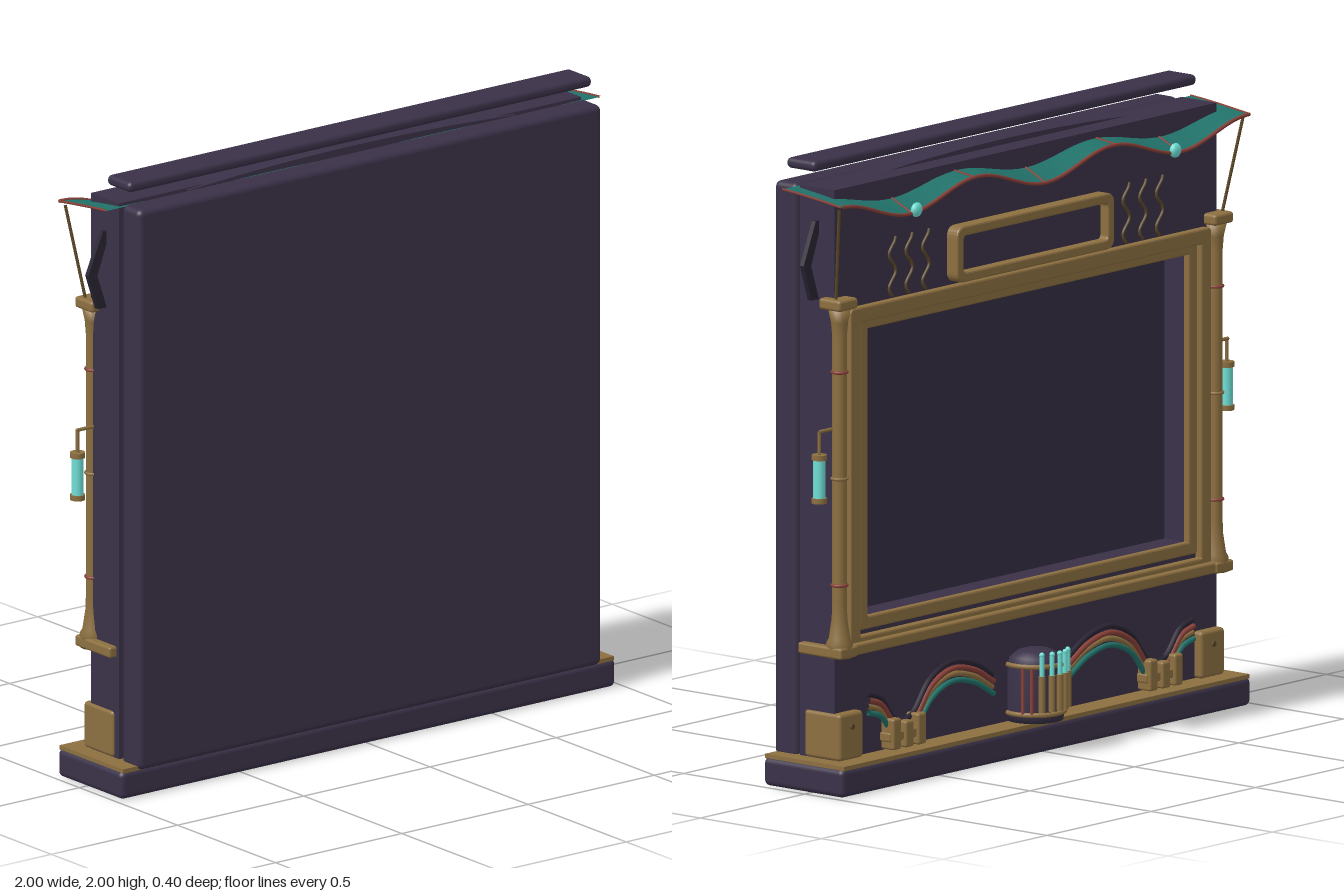
import * as THREE from 'three';
import { RoundedBoxGeometry } from 'three/addons/geometries/RoundedBoxGeometry.js';

const mat = (name, color, side = THREE.FrontSide) => {
  const m = new THREE.MeshStandardMaterial({ color, side });
  m.name = name;
  return m;
};

export function createModel() {
  const M = {
    dark: mat('dark purple', 0x3a3148),
    screen: mat('screen purple', 0x352d42),
    brass: mat('brass', 0x8c6f40),
    oldBrass: mat('tarnished brass', 0x5e4a28),
    teal: mat('teal cloth', 0x21726a, THREE.DoubleSide),
    glow: mat('glowing aqua', 0x6fe0d6),
    red: mat('copper red', 0x8a4038),
    iron: mat('dark iron', 0x2a2433),
  };
  const root = new THREE.Group();
  const V = (x, y, z) => new THREE.Vector3(x, y, z);

  const add = (name, geo, material, x = 0, y = 0, z = 0) => {
    const mesh = new THREE.Mesh(geo, material);
    mesh.name = name;
    mesh.position.set(x, y, z);
    root.add(mesh);
    return mesh;
  };
  // box given by its limits, with rounded edges when r > 0
  const box = (name, m, x0, x1, y0, y1, z0, z1, r = 0) => {
    const s = [x1 - x0, y1 - y0, z1 - z0];
    const g = r ? new RoundedBoxGeometry(...s, 3, r) : new THREE.BoxGeometry(...s);
    return add(name, g, m, (x0 + x1) / 2, (y0 + y1) / 2, (z0 + z1) / 2);
  };
  const cyl = (name, m, r, y0, y1, x, z, r2 = r, n = 16) =>
    add(name, new THREE.CylinderGeometry(r2, r, y1 - y0, n), m, x, (y0 + y1) / 2, z);
  const tube = (name, m, pts, r, n = 40, sides = 8) =>
    add(name, new THREE.TubeGeometry(new THREE.CatmullRomCurve3(pts), n, r, sides), m);
  const rod = (name, m, a, b, r) =>
    add(name, new THREE.TubeGeometry(new THREE.LineCurve3(a, b), 1, r, 8), m);
  const roundRect = (S, w, h, r) => {
    const s = new S();
    s.moveTo(-w + r, -h);
    s.lineTo(w - r, -h).quadraticCurveTo(w, -h, w, -h + r);
    s.lineTo(w, h - r).quadraticCurveTo(w, h, w - r, h);
    s.lineTo(-w + r, h).quadraticCurveTo(-w, h, -w, h - r);
    s.lineTo(-w, -h + r).quadraticCurveTo(-w, -h, -w + r, -h);
    return s;
  };
  // hollow frame: outer half sizes w, h and bar thickness t
  const frame = (name, m, w, h, t, y, z0, z1, r, bevel = 0.006) => {
    const s = roundRect(THREE.Shape, w - bevel, h - bevel, r);
    s.holes.push(roundRect(THREE.Path, w - t + bevel, h - t + bevel, r * 0.7));
    const g = new THREE.ExtrudeGeometry(s, {
      depth: z1 - z0 - 2 * bevel, bevelSize: bevel, bevelThickness: bevel, bevelSegments: 2, curveSegments: 6,
    });
    return add(name, g, m, 0, y, z0 + bevel);
  };

  // base, slab and floating top bar
  box('base', M.dark, -0.98, 0.98, 0, 0.09, -0.14, 0.19, 0.018);
  box('basePlate', M.brass, -0.972, 0.972, 0.086, 0.1, -0.138, 0.187);
  box('slab', M.dark, -0.917, 0.917, 0.085, 1.92, 0.105, 0.2, 0.02);
  box('topBar', M.dark, -0.917, 0.917, 1.966, 2, 0.03, 0.15, 0.015);

  // body with a recessed screen
  box('lowerBody', M.dark, -0.915, 0.915, 0.095, 0.54, -0.05, 0.093);
  box('header', M.dark, -0.915, 0.915, 1.47, 1.92, -0.05, 0.093);
  for (const s of [-1, 1]) box('sidePost', M.dark, s * 0.843 - 0.072, s * 0.843 + 0.072, 0.54, 1.47, -0.05, 0.093);
  box('screen', M.screen, -0.78, 0.78, 0.53, 1.48, 0.04, 0.09);
  const crest = new THREE.Shape();
  crest.moveTo(-0.65, 1.915);
  crest.lineTo(0.65, 1.915);
  crest.quadraticCurveTo(0, 1.96, -0.65, 1.915);
  add('crest', new THREE.ExtrudeGeometry(crest, { depth: 0.08, bevelEnabled: false, curveSegments: 20 }), M.dark, 0, 0, 0.025);

  // screen surround, sill and header plaque
  frame('outerFrame', M.brass, 0.865, 0.55, 0.05, 0.985, -0.075, -0.045, 0.012);
  frame('innerFrame', M.brass, 0.81, 0.5, 0.042, 1.0, -0.064, -0.04, 0.008);
  box('sill', M.brass, -0.925, 0.925, 0.432, 0.468, -0.095, -0.04, 0.008);
  frame('plaqueFrame', M.brass, 0.377, 0.09, 0.032, 1.634, -0.095, -0.045, 0.03);
  box('plaque', M.dark, -0.35, 0.35, 1.57, 1.7, -0.062, -0.045);

  // canopy with a wavy front edge
  const wave = (x) => 1.85 - 0.035 * Math.cos((2 * Math.PI * x) / 0.65);
  const NX = 56, NZ = 6;
  const onCanopy = (x, t) => V(x, THREE.MathUtils.lerp(1.912, wave(x), t ** 1.2), 0.11 - 0.242 * t);
  const pos = [], idx = [];
  for (let j = 0; j <= NZ; j++)
    for (let i = 0; i <= NX; i++) pos.push(...onCanopy(-0.978 + (1.956 * i) / NX, j / NZ).toArray());
  for (let j = 0; j < NZ; j++)
    for (let i = 0; i < NX; i++) {
      const a = j * (NX + 1) + i, b = a + NX + 1;
      idx.push(a, b, a + 1, b, b + 1, a + 1);
    }
  for (let k = 0; k < idx.length; k += 3) [idx[k + 1], idx[k + 2]] = [idx[k + 2], idx[k + 1]];
  const cloth = new THREE.BufferGeometry();
  cloth.setAttribute('position', new THREE.Float32BufferAttribute(pos, 3));
  cloth.setIndex(idx);
  cloth.computeVertexNormals();
  add('canopy', cloth, M.teal);
  const edge = Array.from({ length: 41 }, (_, i) => onCanopy(-0.978 + (1.956 * i) / 40, 1));
  tube('canopyTrim', M.red, edge, 0.006, 120, 6);
  for (const x of [-0.978, -0.64, -0.34, 0, 0.34, 0.64, 0.978]) {
    const start = Math.abs(x) > 0.95 ? 0 : 0.6;
    const pts = Array.from({ length: 5 }, (_, i) => onCanopy(x, start + ((1 - start) * i) / 4));
    tube('canopyRib', M.red, pts, 0.004, 10, 6);
  }

  // mirrored parts
  const columnProfile = [
    [0, 0.43], [0.042, 0.43], [0.042, 0.475], [0.034, 0.49], [0.025, 0.55],
    [0.023, 0.6], [0.023, 1.45], [0.027, 1.5], [0.036, 1.54], [0, 1.54],
  ].map(([r, y]) => new THREE.Vector2(r, y));
  for (const s of [-1, 1]) {
    // column
    const cx = s * 0.9, cz = -0.058;
    add('column', new THREE.LatheGeometry(columnProfile, 20), M.brass, cx, 0, cz);
    box('columnCap', M.brass, cx - 0.045, cx + 0.045, 1.54, 1.576, cz - 0.04, cz + 0.05, 0.01);
    box('columnFoot', M.brass, cx - 0.042, cx + 0.042, 0.43, 0.466, -0.1, 0.08, 0.008);
    for (const y of [0.66, 1.0, 1.34]) {
      const ring = add('columnRing', new THREE.TorusGeometry(0.024, 0.005, 8, 20), y === 1 ? M.brass : M.red, cx, y, cz);
      ring.rotation.x = Math.PI / 2;
    }
    rod('canopyStay', M.oldBrass, V(s * 0.925, 1.57, -0.065), V(s * 0.967, 1.875, -0.115), 0.005);

    // bent fin on the side
    const fin = new THREE.Shape([
      [0.9, 1.815], [0.93, 1.815], [0.988, 1.68], [0.95, 1.565], [0.915, 1.565], [0.952, 1.675],
    ].map(([x, y]) => new THREE.Vector2(s * x, y)));
    add('sideFin', new THREE.ExtrudeGeometry(fin, { depth: 0.016, bevelEnabled: false }), M.iron, 0, 0, 0.014);

    // hanging lantern
    const lx = s * 0.976, lz = -0.04;
    cyl('lanternGlass', M.glow, 0.019, 0.945, 1.07, lx, lz);
    cyl('lanternBottom', M.brass, 0.024, 0.93, 0.947, lx, lz);
    cyl('lanternTop', M.brass, 0.024, 1.068, 1.085, lx, lz);
    rod('lanternHook', M.brass, V(lx, 1.08, lz), V(lx, 1.16, lz), 0.006);
    rod('lanternArm', M.brass, V(s * 0.9, 1.157, lz), V(s * 0.982, 1.157, lz), 0.006);

    // corner block with bolt
    box('cornerBlock', M.brass, s * 0.866 - 0.057, s * 0.866 + 0.057, 0.1, 0.25, -0.08, 0.07, 0.012);
    const bolt = cyl('cornerBolt', M.oldBrass, 0.009, 0, 0.008, s * 0.866, -0.081);
    bolt.rotation.x = Math.PI / 2;
    bolt.position.y = 0.205;

    // canopy gem
    const gem = add('canopyGem', new THREE.IcosahedronGeometry(0.024, 1), M.glow, s * 0.62, wave(0.62) + 0.008, -0.135);
    gem.scale.z = 0.6;

    // wavy vents on the header
    for (const x of [0.48, 0.56, 0.64]) {
      const pts = Array.from({ length: 13 }, (_, i) =>
        V(s * x + 0.016 * Math.sin((i / 12) * Math.PI * 3.5), 1.54 + (0.19 * i) / 12, -0.052));
      tube('waveVent', M.oldBrass, pts, 0.005, 32, 6);
    }

    // cable run and clamps
    [M.iron, M.red, M.brass, M.teal].forEach((m, i) => {
      const path = [[0.78, 0.27], [0.72, 0.25], [0.64, 0.165], [0.57, 0.17], [0.48, 0.27], [0.38, 0.31], [0.27, 0.29], [0.18, 0.24]];
      const pts = path.map(([x, y]) => V(s * x, y + 0.025 - i * 0.02, -0.068 - 0.006 * (i % 2)));
      tube('cable', m, pts, 0.009, 48);
    });
    for (const x of [0.555, 0.615, 0.675])
      box('cableClamp', M.brass, s * x - 0.02, s * x + 0.02, 0.105, x === 0.615 ? 0.19 : 0.205, -0.105, -0.05, 0.008);
    box('clampBase', M.brass, s * 0.615 - 0.085, s * 0.615 + 0.085, 0.13, 0.16, -0.095, -0.05, 0.006);
  }

  // drum with vials at the centre
  const drumProfile = [[0, 0.1], [0.09, 0.1], [0.095, 0.13], [0.095, 0.28], [0.085, 0.305], [0.05, 0.322], [0, 0.326]]
    .map(([r, y]) => new THREE.Vector2(r, y));
  add('drum', new THREE.LatheGeometry(drumProfile, 32), M.dark, 0, 0, -0.088);
  for (const y of [0.128, 0.282]) {
    const band = add('drumBand', new THREE.TorusGeometry(0.095, 0.008, 8, 32), M.brass, 0, y, -0.088);
    band.rotation.x = Math.PI / 2;
  }
  for (const a of [-1.25, -0.95, 0.95, 1.25])
    cyl('drumStrip', M.red, 0.006, 0.13, 0.28, 0.096 * Math.sin(a), -0.088 - 0.096 * Math.cos(a), 0.006, 8);
  for (let i = -2; i <= 2; i++) {
    const x = i * 0.031, z = -0.088 - Math.sqrt(0.104 ** 2 - x * x);
    cyl('vialSleeve', M.brass, 0.011, 0.14, 0.255, x, z, 0.011, 10);
    cyl('vial', M.glow, 0.008, 0.25, 0.32, x, z, 0.008, 10);
    add('vialTip', new THREE.SphereGeometry(0.009, 10, 8), M.glow, x, 0.322, z);
  }
  return root;
}
